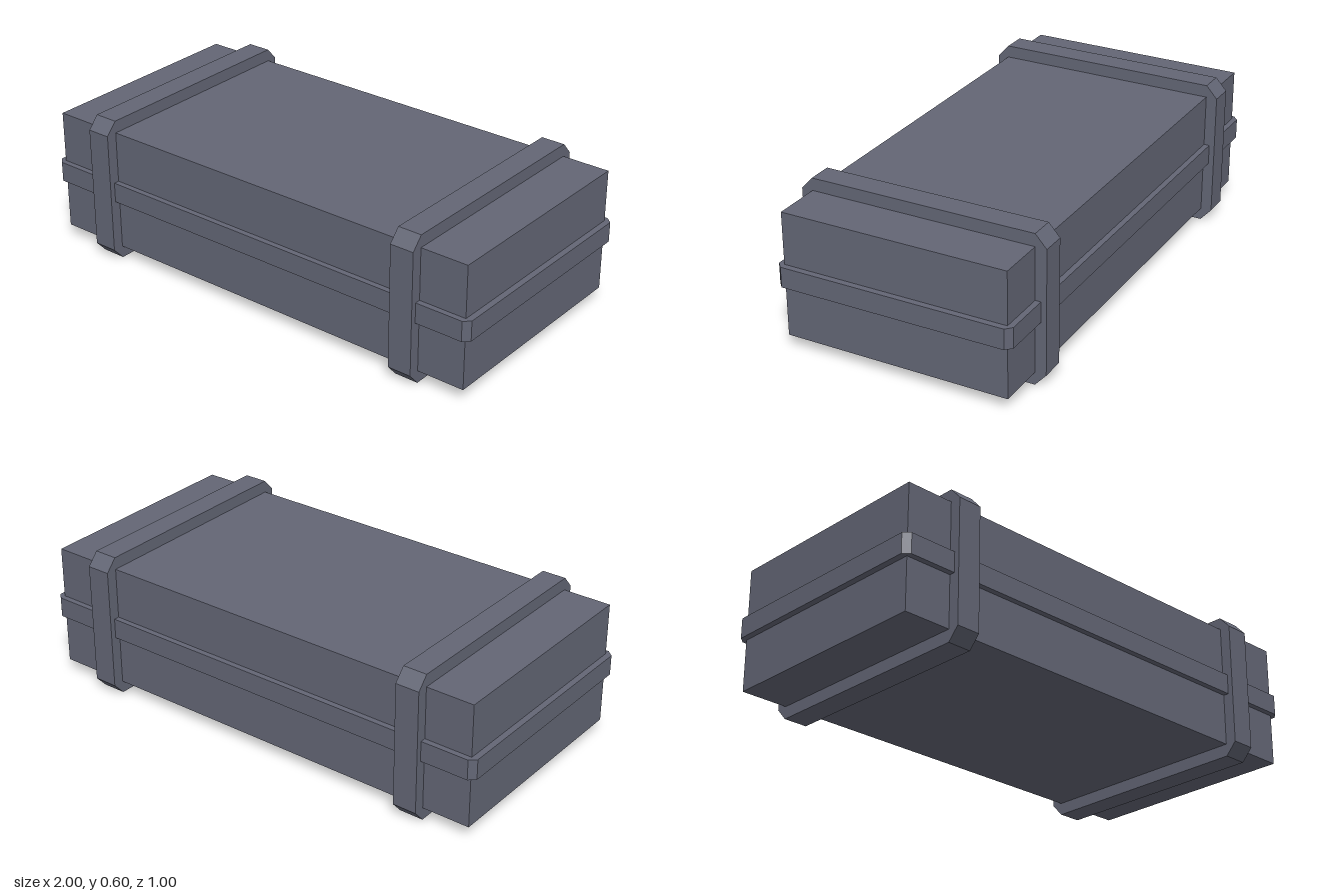
import * as THREE from 'three';

const material = new THREE.MeshStandardMaterial({ color: 0x636675, flatShading: true });

// Rectangle ring with chamfered outer corners, fitted around an inner rectangle
function chamferedRing(innerX, innerY, rim, depth) {
  const outerX = innerX + rim.x, outerY = innerY + rim.y;
  const shape = new THREE.Shape([
    [innerX, -outerY], [outerX, -innerY], [outerX, innerY], [innerX, outerY],
    [-innerX, outerY], [-outerX, innerY], [-outerX, -innerY], [-innerX, -outerY],
  ].map(([x, y]) => new THREE.Vector2(x, y)));
  shape.holes.push(new THREE.Path([
    [-innerX, -innerY], [-innerX, innerY], [innerX, innerY], [innerX, -innerY],
  ].map(([x, y]) => new THREE.Vector2(x, y))));
  return new THREE.ExtrudeGeometry(shape, { depth, bevelEnabled: false })
    .translate(0, 0, -depth / 2);
}

export function createModel() {
  const model = new THREE.Group();
  model.name = 'case';
  const halfX = 0.975, halfY = 0.25, halfZ = 0.455, midY = 0.3;

  function add(name, geometry, x = 0) {
    const mesh = new THREE.Mesh(geometry, material);
    mesh.name = name;
    mesh.position.set(x, midY, 0);
    model.add(mesh);
  }

  // Main box
  add('body', new THREE.BoxGeometry(halfX * 2, halfY * 2, halfZ * 2));

  // Horizontal band around the middle
  add('middleBand', chamferedRing(halfX, halfZ, { x: 0.025, y: 0.023 }, 0.082).rotateX(-Math.PI / 2));

  // Vertical straps near each end
  for (const [name, side] of [['leftStrap', 1], ['rightStrap', -1]]) {
    add(name, chamferedRing(halfZ, halfY, { x: 0.045, y: 0.05 }, 0.098).rotateY(Math.PI / 2), side * 0.73);
  }
  return model;
}
